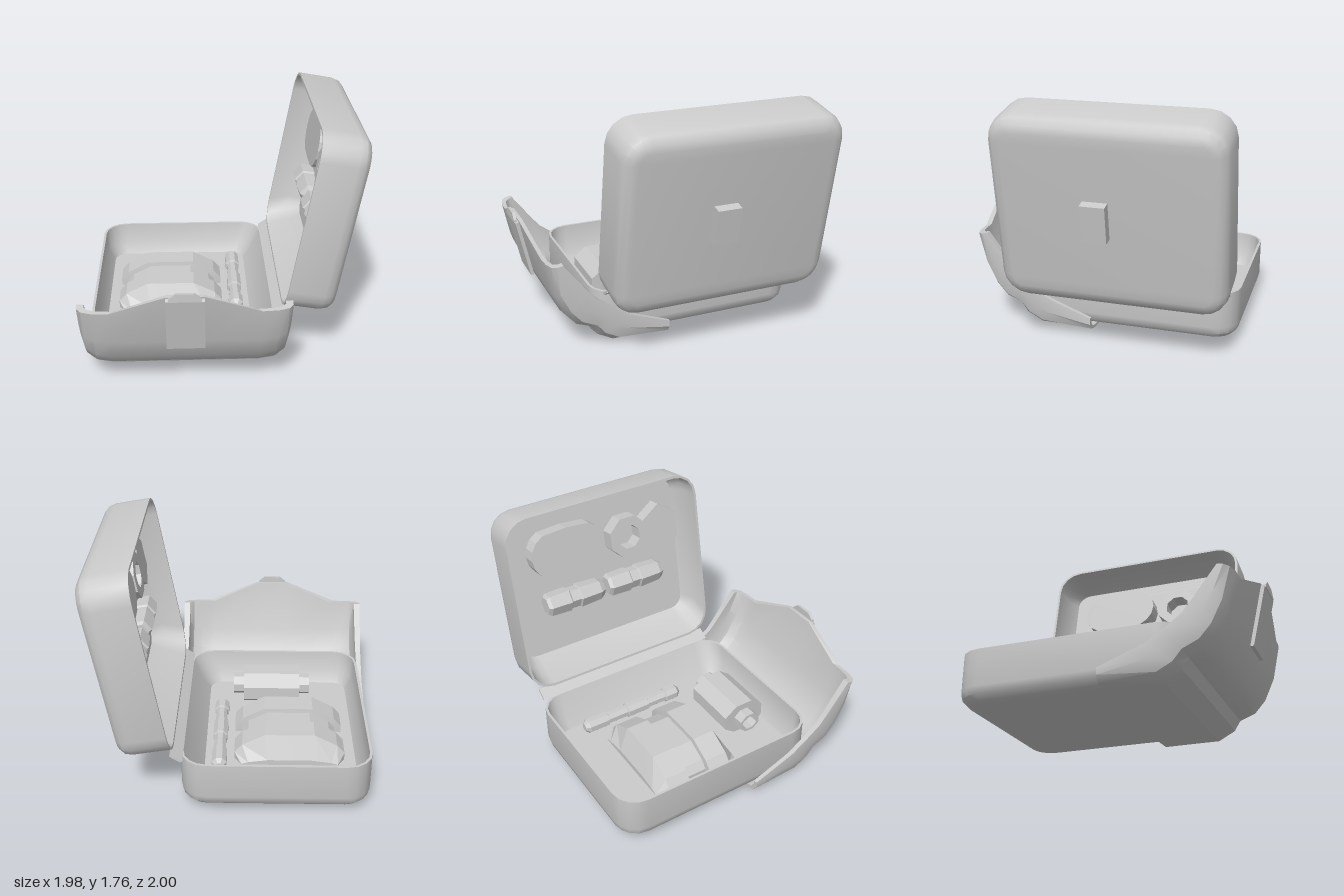
import * as THREE from 'three';
import { toCreasedNormals } from 'three/addons/utils/BufferGeometryUtils.js';

const grey = new THREE.MeshStandardMaterial({ color: 0xcccccc, side: THREE.DoubleSide });

function add(parent, name, geometry, x = 0, y = 0, z = 0) {
  const mesh = new THREE.Mesh(geometry, grey);
  mesh.name = name;
  mesh.position.set(x, y, z);
  parent.add(mesh);
  return mesh;
}

// Closed solid through equal-length loops; the winding is turned outward by its volume.
function loft(sections, crease = 0.6) {
  const n = sections[0].length, m = sections.length, index = [];
  const pts = sections.flat().map((p) => new THREE.Vector3(...p));
  const quad = (a, b, c, d) => index.push(a, b, c, a, c, d);
  for (let j = 0; j < m - 1; j++)
    for (let i = 0; i < n; i++) {
      const k = (i + 1) % n;
      quad(j * n + i, j * n + k, (j + 1) * n + k, (j + 1) * n + i);
    }
  const e = (m - 1) * n;
  for (let i = 0; i < n / 2 - 1; i++) {
    quad(i, n - 1 - i, n - 2 - i, i + 1);
    quad(e + i, e + i + 1, e + n - 2 - i, e + n - 1 - i);
  }
  let volume = 0;
  for (let i = 0; i < index.length; i += 3)
    volume += pts[index[i]].dot(pts[index[i + 1]].clone().cross(pts[index[i + 2]]));
  if (volume < 0) index.reverse();
  const g = new THREE.BufferGeometry().setFromPoints(pts);
  g.setIndex(index);
  return toCreasedNormals(g, crease);
}

// Rounded rectangle loop in the horizontal plane; the hinge side (-x) may be set further in
function ring(w, d, inset, y, hingeInset) {
  const r = Math.max(0.18 - inset, 0.08), steps = 4, loop = [];
  const hx = w / 2 - inset - r, hz = d / 2 - inset - r;
  [[1, 1], [-1, 1], [-1, -1], [1, -1]].forEach(([sx, sz], q) => {
    for (let i = 0; i <= steps; i++) {
      const a = (q + i / steps) * Math.PI / 2;
      loop.push([sx * hx + r * Math.cos(a) + (sx < 0 ? hingeInset : 0), y, sz * hz + r * Math.sin(a)]);
    }
  });
  return loop;
}

// Open half of the case: rounded outside, thin rim, panel sloping in from the hinge
const halfProfile = [[0.1, 0, 0], [0.05, 0.013, 0], [0.013, 0.05, 0], [0, 0.1, 0], [0, 0.36, 0],
  [0.018, 0.36, 0], [0.03, 0.2, 0.06], [0.08, 0.11, 0.07]];
const caseHalf = (w, d) => loft(halfProfile.map(([inset, y, hinge]) => ring(w, d, inset, y, hinge)));

// Outline extruded and centred on its depth
function slab(points, depth, hole) {
  const shape = new THREE.Shape(points.map((p) => new THREE.Vector2(...p)));
  if (hole) shape.holes.push(new THREE.Path(hole.map((p) => new THREE.Vector2(...p))));
  return new THREE.ExtrudeGeometry(shape, { depth, bevelEnabled: false }).translate(0, 0, -depth / 2);
}
const polygon = (n, rx, ry = rx, turn = 0) => Array.from({ length: n }, (_, i) => {
  const a = (i / n) * Math.PI * 2 + turn;
  return [rx * Math.cos(a), ry * Math.sin(a)];
});

// Faceted rod along z from [z, radius] pairs
function rod(profile, sides) {
  return loft(profile.map(([z, r]) => polygon(sides, r, r, Math.PI / sides).map(([x, y]) => [x, y, z])), 0.1);
}

// Scooped front flap: side rims joined to a spine, [spineZ, spineY, rimZ, rimY]
function flapGeometry() {
  const stations = [[0.04, 0.01, 0.04, 0.13], [0.45, 0.005, 0.31, 0.23], [0.57, 0.07, 0.36, 0.25],
    [0.61, 0.14, 0.48, 0.33], [0.72, 0.18, 0.59, 0.41], [0.8, 0.27, 0.66, 0.495],
    [0.87, 0.43, 0.74, 0.6], [0.92, 0.685, 0.82, 0.705]];
  const centre = -0.27;
  // [half width, blend from rim to spine, share of the raised peak]
  const half = [[0.72, 0, 0], [0.72, 0.4, 0], [0.69, 0.75, 0], [0.62, 0.94, 0], [0.51, 1, 0], [0.13, 1, 1]];
  const columns = [...half.map(([x, t, p]) => [-x, t, p]), ...[...half].reverse()];
  const sections = stations.map(([sz, sy, rz, ry], j) => {
    const last = j === stations.length - 1 ? 1 : 0;
    const row = (inner) => columns.map(([x, t, p]) => {
      const k = t * (inner ? 0.86 : 1);
      return [centre + x * (inner ? 0.96 - 0.004 * j : 1),
        ry + (sy - ry) * k + last * p * 0.145,
        rz + (sz - rz) * k + last * (p * 0.045 - (inner ? 0.015 * t : 0))];
    });
    return [...row(false), ...row(true).reverse()];
  });
  return loft(sections, 0.5);
}

// Arched bundle with two raised bands and sloping ends
function bundleGeometry() {
  const arch = (z, hw, base, rise) => {
    const side = [[1, 0], [1, 0.3], [0.86, 0.6], [0.45, 1]].map(([x, t]) => [x * hw, base + t * rise, z]);
    return [...side.map(([x, y]) => [-x, y, z]), ...side.reverse()];
  };
  const big = [0.395, 0.14, 0.21], small = [0.345, 0.14, 0.18], low = [0.345, 0.14, 0.05];
  return loft([[-0.64, low], [-0.56, big], [-0.39, big], [-0.385, small], [-0.225, small],
    [-0.22, big], [-0.05, big], [0.04, low]].map(([z, s]) => arch(z, ...s)), 0.1);
}

export function createModel() {
  const model = new THREE.Group();
  model.name = 'openCase';

  // Tray and hinge
  add(model, 'tray', caseHalf(1.31, 1.57), -0.285, 0.04, -0.215).rotation.y = Math.PI;
  add(model, 'hinge', slab([[0.352, 0.4], [0.368, 0.39], [0.44, 0.437], [0.432, 0.452]], 1.46), 0, 0, -0.22);

  // Front flap with its latch
  add(model, 'frontFlap', flapGeometry());
  const latch = new THREE.Group();
  latch.name = 'flapLatch';
  model.add(latch);
  const plate = slab([[-0.87, 0.39], [-0.895, 0.39], [-0.99, 0.81], [-0.965, 0.82]], 0.26);
  add(latch, 'latchPlate', plate.rotateY(Math.PI / 2), -0.27);
  add(latch, 'latchTab', slab([[-0.11, 0.81], [0.11, 0.81], [0.11, 0.83], [0.06, 0.87], [-0.06, 0.87],
    [-0.11, 0.83]], 0.02), -0.27, 0, 0.985);

  // Tray contents
  add(model, 'bandedBundle', bundleGeometry(), -0.385);
  add(model, 'slimTool', rod([[-0.75, 0.03], [-0.72, 0.057], [-0.56, 0.057], [-0.555, 0.046], [-0.39, 0.046],
    [-0.385, 0.057], [-0.21, 0.057], [-0.205, 0.046], [-0.05, 0.046], [-0.045, 0.057], [0.05, 0.057],
    [0.08, 0.025]], 8), 0.115, 0.21, 0);
  const roll = new THREE.Group();
  roll.name = 'roll';
  roll.position.set(-0.265, 0.265, 0.29);
  roll.rotation.y = Math.PI / 2;
  model.add(roll);
  add(roll, 'rollBody', slab(polygon(8, 0.18, 0.135, Math.PI / 8), 0.43));
  add(roll, 'rollTube', slab(polygon(8, 0.09, 0.08, Math.PI / 8), 0.59,
    polygon(8, 0.068, 0.058, Math.PI / 8)));

  // Lid, swung open past vertical
  const lid = new THREE.Group();
  lid.name = 'lid';
  lid.position.set(0.889, 1.04, -0.215);
  lid.rotation.z = THREE.MathUtils.degToRad(80);
  model.add(lid);
  add(lid, 'lidShell', caseHalf(1.338, 1.575));
  add(lid, 'lidClip', slab([[-0.13, 0.01], [0.13, 0.01], [0.13, -0.07], [-0.13, -0.07]], 0.17), 0, 0, 0.065);

  // Lid contents: upper row of flat pieces, lower row of two tools
  const flat = (name, geometry, x, z) => {
    add(lid, name, geometry.rotateX(Math.PI / 2), x, 0.16, z + 0.215);
  };
  const bar = polygon(16, 0.18).map(([x, y]) => [x, y + Math.sign(Math.round(y * 1e4)) * 0.12]);
  flat('roundedPouch', slab(bar, 0.13), 0.29, -0.48);
  flat('ringPiece', slab(polygon(8, 0.17, 0.17, Math.PI / 8), 0.13, polygon(8, 0.095, 0.095, Math.PI / 8)), 0.25, 0.03);
  flat('hexPiece', slab(polygon(6, 0.2, 0.17), 0.11), 0.24, 0.31);
  for (const z of [-0.475, 0.045])
    add(lid, 'lidTool', rod([[-0.245, 0.07], [-0.22, 0.09], [-0.06, 0.095], [-0.05, 0.082], [0.02, 0.082],
      [0.03, 0.095], [0.2, 0.085], [0.24, 0.06]], 6), -0.1, 0.18, z + 0.215);

  return model;
}
